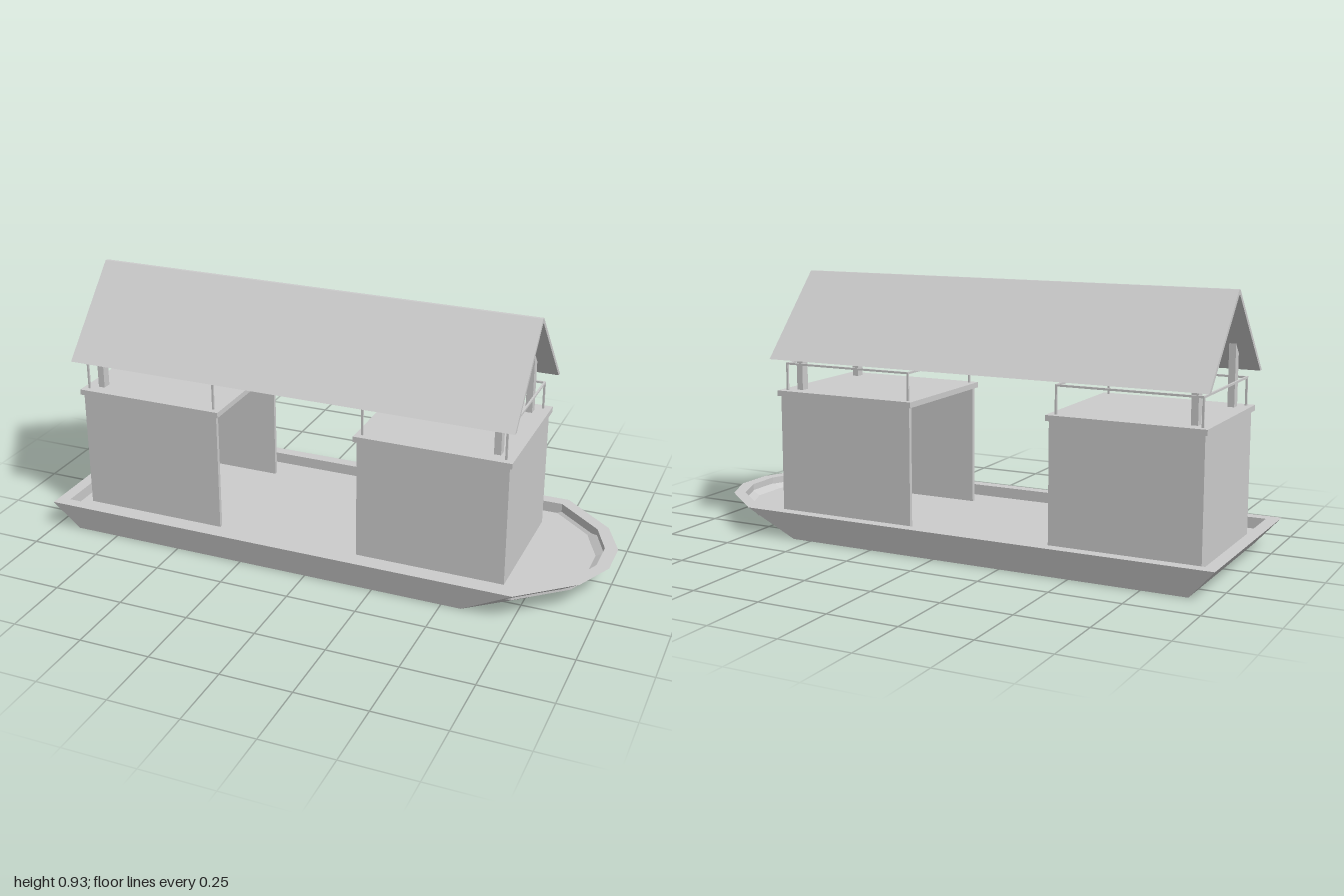
import * as THREE from 'three';

const mat = new THREE.MeshStandardMaterial({ color: 0xcccccc, flatShading: true, side: THREE.DoubleSide });

function add(parent, name, geometry) {
  const mesh = new THREE.Mesh(geometry, mat);
  mesh.name = name;
  parent.add(mesh);
  return mesh;
}

// Box given by its limits on each axis
function box(parent, name, x0, x1, y0, y1, z0, z1) {
  const mesh = add(parent, name, new THREE.BoxGeometry(x1 - x0, y1 - y0, z1 - z0));
  mesh.position.set((x0 + x1) / 2, (y0 + y1) / 2, (z0 + z1) / 2);
}

// Extrude a [z, y] profile along x
function extrudeX(points, x0, x1) {
  const shape = new THREE.Shape(points.map(([z, y]) => new THREE.Vector2(-z, y)));
  return new THREE.ExtrudeGeometry(shape, { depth: x1 - x0, bevelEnabled: false })
    .rotateY(Math.PI / 2).translate(x0, 0, 0);
}

// Hull: loft of four outlines, from the keel up over the gunwale and down to the deck
function hullGeometry(deckY) {
  const ring = (half, y) => [...half, ...half.map(([x, z]) => [x, -z]).reverse()].map(([x, z]) => [x, y, z]);
  const inner = [[-0.955, 0.33], [0.735, 0.33], [0.9, 0.188], [0.955, 0.063]];
  const rings = [
    ring([[-0.91, 0.35], [0.57, 0.35], [0.752, 0.2], [0.81, 0.067]], 0),
    ring([[-1, 0.372], [0.75, 0.372], [0.935, 0.212], [1, 0.07]], 0.1),
    ring(inner, 0.1),
    ring(inner, deckY),
  ];
  const n = rings[0].length;
  const index = [];
  for (let r = 0; r < rings.length - 1; r++) {
    for (let i = 0; i < n; i++) {
      const a = r * n + i, b = r * n + (i + 1) % n;
      index.push(a, b, b + n, a, b + n, a + n);
    }
  }
  const top = (rings.length - 1) * n;
  for (let i = 1; i < n - 1; i++) {
    index.push(0, i + 1, i); // bottom
    index.push(top, top + i, top + i + 1); // deck
  }
  const geometry = new THREE.BufferGeometry();
  geometry.setAttribute('position', new THREE.Float32BufferAttribute(rings.flat(2), 3));
  geometry.setIndex(index);
  const flat = geometry.toNonIndexed();
  flat.computeVertexNormals();
  return flat;
}

// Cabin open towards amidships; end is +1 when its closed end faces the bow
function cabin(name, x0, x1, end, deckY) {
  const g = new THREE.Group();
  g.name = name;
  const t = 0.015, w = 0.243, top = 0.495, roofTop = 0.515;
  for (const s of [-1, 1]) {
    const z = s * (w - t / 2);
    box(g, 'sideWall', x0, x1, deckY, top, z - t / 2, z + t / 2);
  }
  const xe = end > 0 ? x1 - t : x0;
  box(g, 'endWall', xe, xe + t, deckY, top, -w + t, w - t);
  box(g, 'cabinTop', x0 - 0.01, x1 + 0.01, top, roofTop, -0.252, 0.252);

  // Railing around the cabin top
  const r = 0.0035, rx0 = x0 + 0.014, rx1 = x1 - 0.018, rz = 0.226, ry = 0.612;
  for (const z of [-rz, rz]) {
    box(g, 'sideRail', rx0 - r, rx1 + r, ry - r, ry + r, z - r, z + r);
    for (const x of [rx0, rx1]) box(g, 'railPost', x - r, x + r, roofTop, ry - r, z - r, z + r);
  }
  for (const x of [rx0, rx1]) box(g, 'endRail', x - r, x + r, ry - r, ry + r, -rz + r, rz - r);

  // Posts cut to the roof slope
  const px = end > 0 ? x1 - 0.055 : x0 + 0.05;
  for (const s of [-1, 1]) {
    const profile = [[s * 0.17, roofTop], [s * 0.203, roofTop], [s * 0.203, 0.697], [s * 0.17, 0.732]];
    add(g, 'roofPost', extrudeX(profile, px - 0.012, px + 0.012));
  }
  return g;
}

export function createModel() {
  const model = new THREE.Group();
  model.name = 'houseboat';
  const deckY = 0.06;

  add(model, 'hull', hullGeometry(deckY));
  model.add(cabin('aftCabin', -0.915, -0.38, -1, deckY));
  model.add(cabin('foreCabin', 0.15, 0.685, 1, deckY));

  // Gabled roof over both cabins
  add(model, 'roof', extrudeX([
    [-0.28, 0.632], [-0.006, 0.93], [0.006, 0.93], [0.28, 0.632],
    [0.262, 0.632], [0.004, 0.912], [-0.004, 0.912], [-0.262, 0.632],
  ], -0.936, 0.706));

  return model;
}
